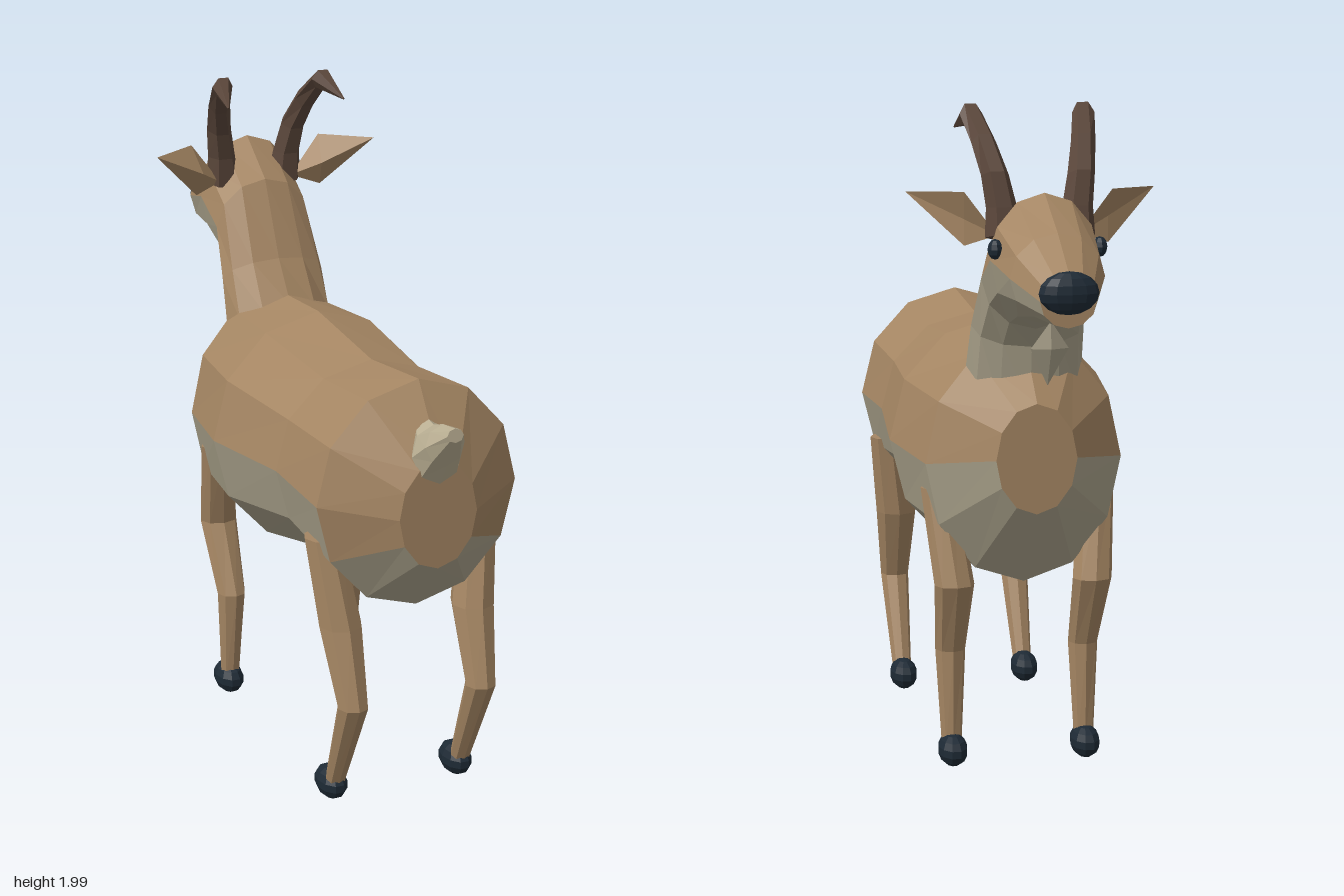
import * as THREE from 'three';

const mat = (name, color) => {
  const m = new THREE.MeshStandardMaterial({ color });
  m.name = name;
  return m;
};

// Each section is [x, halfWidth, topY, topZ, bottomY, bottomZ]: an ellipse spanned
// by the x axis and the line from bottom to top. colour(segment, side) picks a group.
function loft(sections, sides, colour = () => 0) {
  const tris = [[], []];
  const rings = sections.map(([x, rx, ty, tz, by, bz]) =>
    Array.from({ length: sides }, (_, i) => {
      const a = (i / sides) * Math.PI * 2, s = Math.sin(a) / 2;
      return new THREE.Vector3(x + rx * Math.cos(a), (ty + by) / 2 + (ty - by) * s, (tz + bz) / 2 + (tz - bz) * s);
    }));
  for (let r = 0; r < rings.length - 1; r++) {
    for (let i = 0; i < sides; i++) {
      const j = (i + 1) % sides, A = rings[r], B = rings[r + 1];
      tris[colour(r, i)].push([A[i], A[j], B[j]], [A[i], B[j], B[i]]);
    }
  }
  const first = rings[0], last = rings[rings.length - 1];
  for (let i = 1; i < sides - 1; i++) {
    tris[0].push([first[0], first[i + 1], first[i]], [last[0], last[i], last[i + 1]]);
  }
  return fromTriangles(tris);
}

// Flat-faced geometry with one group per colour, turned outward by its signed volume
function fromTriangles(groups) {
  const volume = groups.flat().reduce((v, [a, b, c]) => v + a.dot(b.clone().cross(c)), 0);
  const geo = new THREE.BufferGeometry(), pos = [];
  groups.forEach((list, g) => {
    geo.addGroup(pos.length / 3, list.length * 3, g);
    for (const [a, b, c] of list) for (const p of volume < 0 ? [a, c, b] : [a, b, c]) pos.push(p.x, p.y, p.z);
  });
  geo.setAttribute('position', new THREE.Float32BufferAttribute(pos, 3));
  geo.computeVertexNormals();
  return geo;
}

// Solid made of a four-point rim joined to two centre points
function leaf(rim, front, back) {
  const P = rim.map(p => new THREE.Vector3(...p));
  const f = new THREE.Vector3(...front), b = new THREE.Vector3(...back);
  const list = [];
  P.forEach((p, i) => {
    const q = P[(i + 1) % P.length];
    list.push([f, p, q], [b, q, p]);
  });
  return fromTriangles([list]);
}

export function createModel() {
  const model = new THREE.Group();
  model.name = 'goat';
  const coat = mat('brown coat', 0xa58663);
  const belly = mat('pale belly', 0xaaa28b);
  const cream = mat('cream tail', 0xb9ae92);
  const horn = mat('dark horn', 0x5a463a);
  const dark = mat('dark hoof', 0x1e2a35);
  for (const m of [coat, belly, cream, horn, dark]) m.flatShading = true;

  const add = (name, geo, material) => {
    const mesh = new THREE.Mesh(geo, material);
    mesh.name = name;
    model.add(mesh);
    return mesh;
  };
  const ellipsoid = (name, material, p, r, w = 10, h = 7) => {
    const mesh = add(name, new THREE.SphereGeometry(1, w, h), material);
    mesh.position.set(...p);
    mesh.scale.set(...r);
    return mesh;
  };

  // Barrel body, pale on the underside
  const body = [
    [0.83, 0.12, 1.12, 0.80], [0.69, 0.312, 1.32, 0.64], [0.37, 0.302, 1.287, 0.68],
    [-0.02, 0.345, 1.33, 0.59], [-0.34, 0.295, 1.315, 0.58], [-0.51, 0.12, 1.145, 0.82],
  ].map(([z, rx, top, bottom]) => [0, rx, top, z, bottom, z]);
  add('body', loft(body, 12, (r, i) => (r === 0 ? i >= 7 && i <= 10 : i >= 6) ? 1 : 0), [coat, belly]);

  // Neck and head in one run, pale throat and jaw
  add('neckAndHead', loft([
    [0, 0.175, 1.29, -0.235, 1.12, -0.42],
    [0, 0.168, 1.42, -0.33, 1.30, -0.44],
    [0, 0.155, 1.65, -0.44, 1.36, -0.49],
    [0, 0.157, 1.76, -0.59, 1.39, -0.60],
    [0, 0.135, 1.665, -0.75, 1.42, -0.75],
    [0, 0.08, 1.57, -0.88, 1.42, -0.88],
  ], 12, (r, i) => (i >= 6 ? 1 : 0)), [coat, belly]);
  ellipsoid('nose', dark, [0, 1.517, -0.883], [0.085, 0.06, 0.04], 12, 8);

  // Beard
  add('beard', leaf([[0, 1.41, -0.675], [0.055, 1.33, -0.66], [0, 1.22, -0.635], [-0.055, 1.33, -0.66]],
    [0, 1.33, -0.68], [0, 1.33, -0.64]), belly);

  // Short upturned tail
  add('tail', loft([
    [0, 0.045, 1.225, 0.74, 1.08, 0.76],
    [0, 0.077, 1.215, 0.79, 1.055, 0.835],
    [0, 0.06, 1.235, 0.85, 1.12, 0.875],
    [0, 0.025, 1.245, 0.925, 1.205, 0.93],
  ], 8), cream);

  // Paired parts
  for (const s of [1, -1]) {
    const side = s > 0 ? 'left' : 'right';

    ellipsoid(side + 'Eye', dark, [s * 0.15, 1.61, -0.632], [0.022, 0.029, 0.029], 8, 6);

    // Ear, hollow toward the face
    add(side + 'Ear', leaf(
      [[0.12, 1.635, -0.52], [0.215, 1.76, -0.52], [0.365, 1.755, -0.42], [0.21, 1.605, -0.495]].map(([x, y, z]) => [s * x, y, z]),
      [s * 0.21, 1.68, -0.492], [s * 0.2, 1.68, -0.455]), coat);

    // Horn, curving back to a point
    add(side + 'Horn', loft([
      [s * 0.105, 0.055, 1.645, -0.59, 1.62, -0.49],
      [s * 0.11, 0.045, 1.72, -0.575, 1.71, -0.49],
      [s * 0.125, 0.04, 1.82, -0.55, 1.79, -0.475],
      [s * 0.145, 0.036, 1.92, -0.47, 1.865, -0.44],
      [s * 0.165, 0.033, 2.0, -0.365, 1.935, -0.385],
      [s * 0.19, 0.003, 1.925, -0.26, 1.92, -0.262],
    ], 6), horn);

    // Legs: [y, x, halfWidth, backZ, frontZ] from the shoulder down
    const legs = {
      FrontLeg: [[0.86, 0.24, 0.055, -0.205, -0.31], [0.58, 0.21, 0.06, -0.29, -0.39],
        [0.36, 0.205, 0.046, -0.2, -0.295], [0.06, 0.205, 0.03, -0.24, -0.29]],
      BackLeg: [[0.85, 0.245, 0.058, 0.645, 0.525], [0.59, 0.212, 0.065, 0.7, 0.56],
        [0.36, 0.205, 0.046, 0.755, 0.66], [0.06, 0.205, 0.03, 0.605, 0.545]],
    };
    for (const [name, rows] of Object.entries(legs)) {
      add(side + name, loft(rows.map(([y, x, rx, bz, fz]) => [s * x, rx, y, bz, y, fz]), 8), coat);
      ellipsoid(side + name + 'Hoof', dark, [s * 0.205, 0.054, name === 'FrontLeg' ? -0.28 : 0.55], [0.045, 0.05, 0.072]);
    }
  }
  return model;
}
